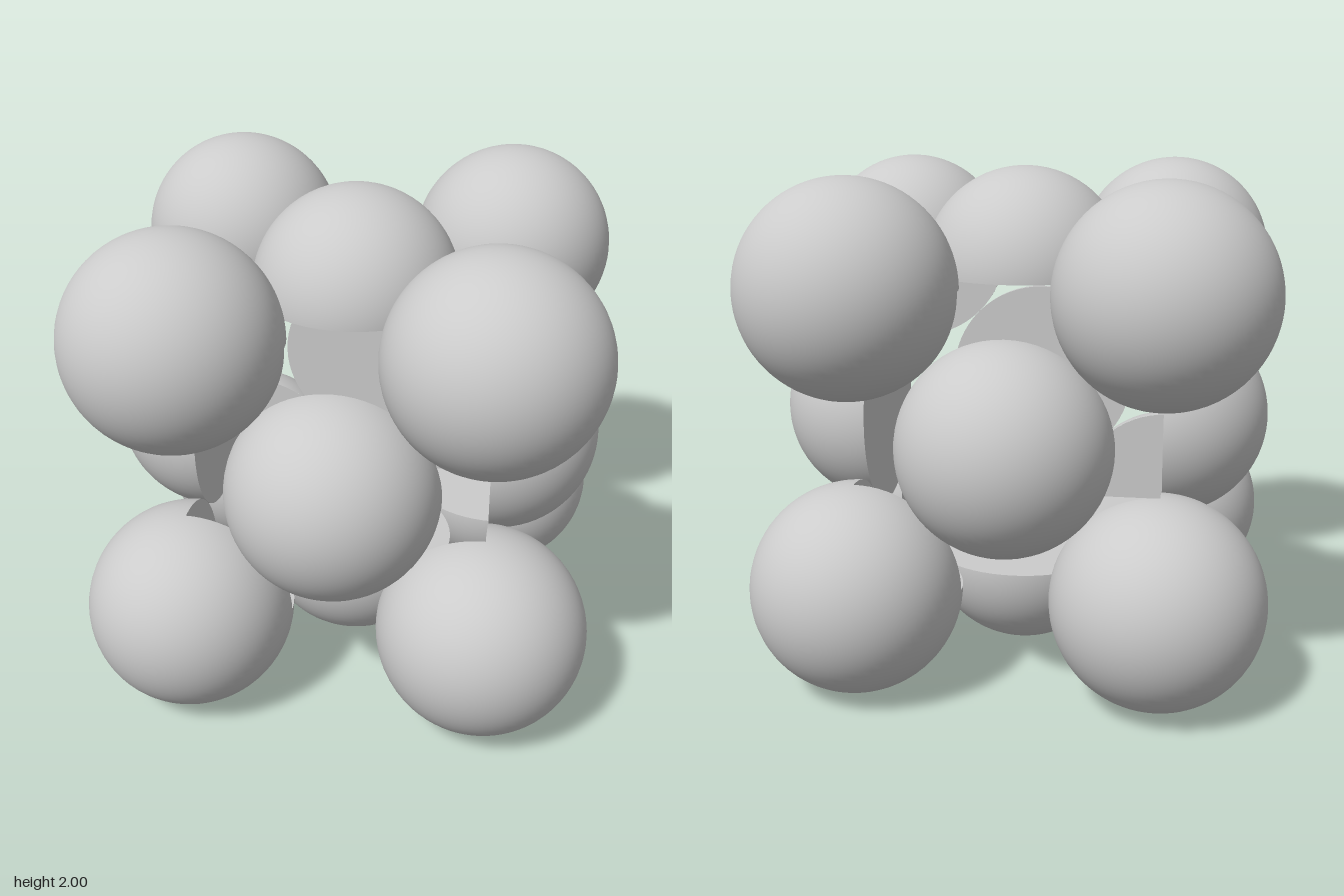
import * as THREE from 'three';
import { mergeGeometries } from 'three/addons/utils/BufferGeometryUtils.js';

const R = Math.SQRT2 - 1; // ball radius: neighbours just touch
const C = 1 - R; // half side of the hollow cube cell
const H = Math.PI / 2;

// Ball with the (-x, -y, -z) octant cut away, closed by three quarter discs
function cornerBallGeometry() {
  const quarter = (start) => new THREE.CircleGeometry(R, 16, start, H);
  return mergeGeometries([
    new THREE.SphereGeometry(R, 64, 20, 0, 4 * H, 0, H),
    new THREE.SphereGeometry(R, 48, 20, 0, 3 * H, H, H),
    quarter(2 * H).rotateX(H),
    quarter(3 * H).rotateY(2 * H),
    quarter(2 * H).rotateY(-H),
  ]);
}

// Outward half ball with a flat disc on the cell side
function faceDomeGeometry() {
  return mergeGeometries([
    new THREE.SphereGeometry(R, 64, 20, 0, 4 * H, 0, H),
    new THREE.CircleGeometry(R, 64).rotateX(H),
  ]);
}

export function createModel() {
  const model = new THREE.Group();
  model.name = 'latticeCell';
  const material = new THREE.MeshStandardMaterial({ color: 0xcccccc });

  // Places a part at an offset from the cell centre, turned about that centre
  const place = (geometry, name, offset, rx, ry, rz) => {
    const mesh = new THREE.Mesh(geometry, material);
    mesh.name = name;
    mesh.rotation.set(rx, ry, rz);
    mesh.position.copy(offset).applyEuler(mesh.rotation);
    mesh.position.y += 1;
    model.add(mesh);
  };

  // Eight corner balls: four on top, four turned over below
  const ball = cornerBallGeometry();
  const corner = new THREE.Vector3(C, C, C);
  for (const flip of [0, Math.PI]) {
    for (let i = 0; i < 4; i++) place(ball, 'cornerBall', corner, flip, i * H, 0);
  }

  // Six domes, one at the centre of each cell face
  const dome = faceDomeGeometry();
  const up = new THREE.Vector3(0, C, 0);
  for (let i = 0; i < 4; i++) place(dome, 'faceDome', up, i * H, 0, 0);
  for (const side of [-1, 1]) place(dome, 'faceDome', up, 0, 0, side * H);

  return model;
}
